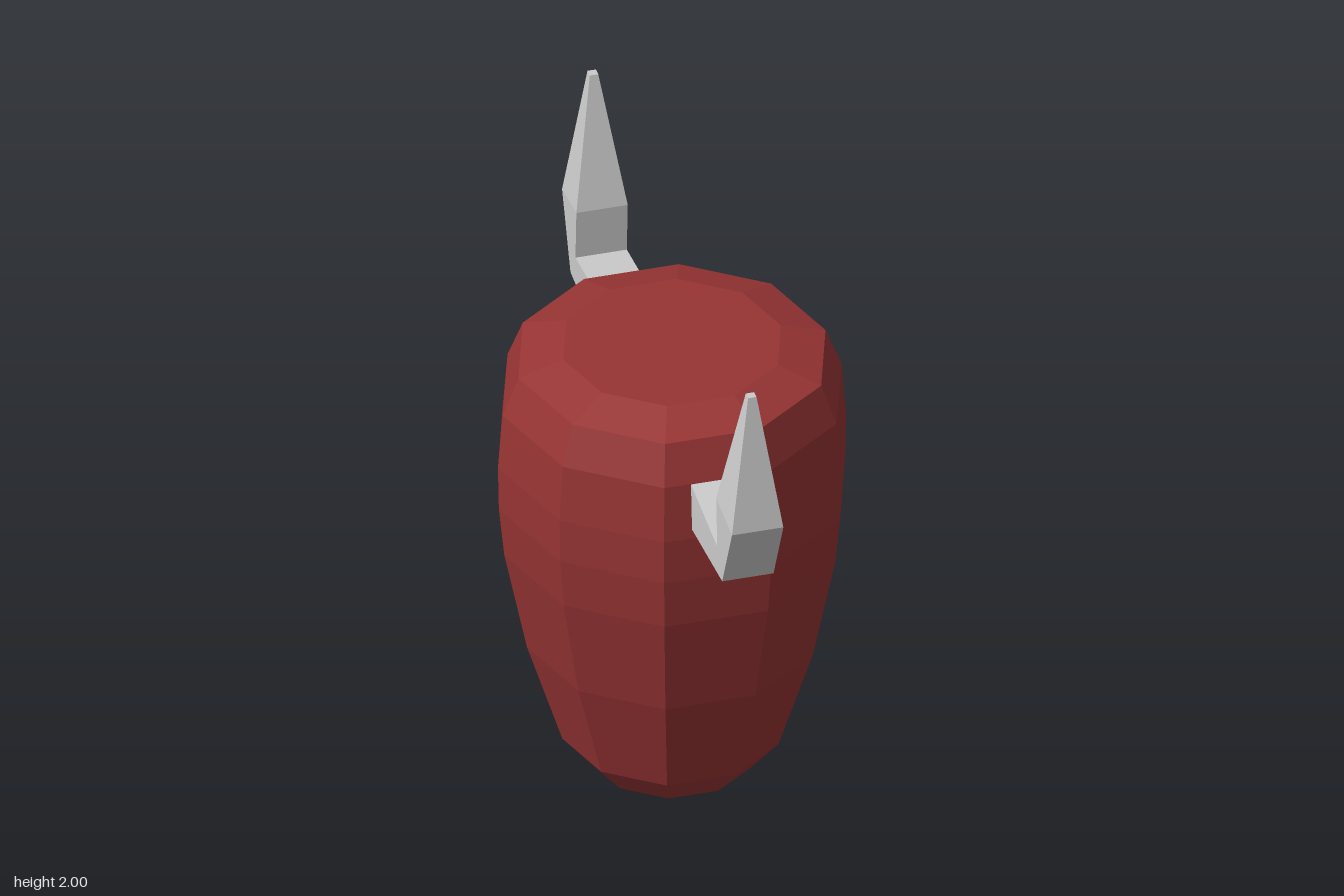
import * as THREE from 'three';

const UP = Math.PI * 0.3; // horns sit on the middle of a body facet

// Ten-sided barrel with bevelled ends
function makeBody() {
  const profile = [
    [0, 0], [0.268, 0], [0.363, 0.115], [0.48, 0.49], [0.555, 0.86], [0.573, 1.04],
    [0.576, 1.2], [0.56, 1.4], [0.508, 1.535], [0.36, 1.58], [0, 1.58],
  ].map(([r, y]) => new THREE.Vector2(r, y));
  const geometry = new THREE.LatheGeometry(profile, 10, Math.PI / 2);
  const material = new THREE.MeshStandardMaterial({ color: 0x983434, flatShading: true });
  const body = new THREE.Mesh(geometry, material);
  body.name = 'body';
  return body;
}

// Square-section horn running out along +x, then bending up to a small blunt tip
function makeHorn(name, angle, bulge) {
  // each section: [outer x, outer y, inner x, inner y, half width]
  const sections = [
    [0.52, 1.23, 0.52, 1.4, 0.085],
    [0.905, 1.27, 0.845, 1.365, 0.085],
    [bulge, 1.525, 0.834, 1.545, 0.085],
    [0.958, 2, 0.93, 2, 0.014],
  ];
  const positions = [];
  for (const [ox, oy, ix, iy, w] of sections) {
    positions.push(ox, oy, w, ox, oy, -w, ix, iy, -w, ix, iy, w);
  }
  const index = [0, 2, 1, 0, 3, 2];
  for (let s = 0; s < sections.length - 1; s++) {
    for (let j = 0; j < 4; j++) {
      const a = s * 4 + j, b = s * 4 + (j + 1) % 4;
      index.push(a, b, b + 4, a, b + 4, a + 4);
    }
  }
  const e = (sections.length - 1) * 4;
  index.push(e, e + 1, e + 2, e, e + 2, e + 3);

  const geometry = new THREE.BufferGeometry();
  geometry.setAttribute('position', new THREE.Float32BufferAttribute(positions, 3));
  geometry.setIndex(index);
  const flat = geometry.toNonIndexed();
  flat.computeVertexNormals();
  const horn = new THREE.Mesh(flat, new THREE.MeshStandardMaterial({ color: 0xcccccc, flatShading: true }));
  horn.name = name;
  horn.rotation.y = angle;
  return horn;
}

export function createModel() {
  const model = new THREE.Group();
  model.name = 'hornedBarrel';
  model.add(
    makeBody(),
    makeHorn('leftHorn', UP, 1.005),
    makeHorn('rightHorn', UP + Math.PI, 1.022),
  );
  // the horns differ slightly, so the barrel sits just off centre
  model.children.forEach((part) => part.position.set(0.004, 0, -0.012));
  return model;
}
